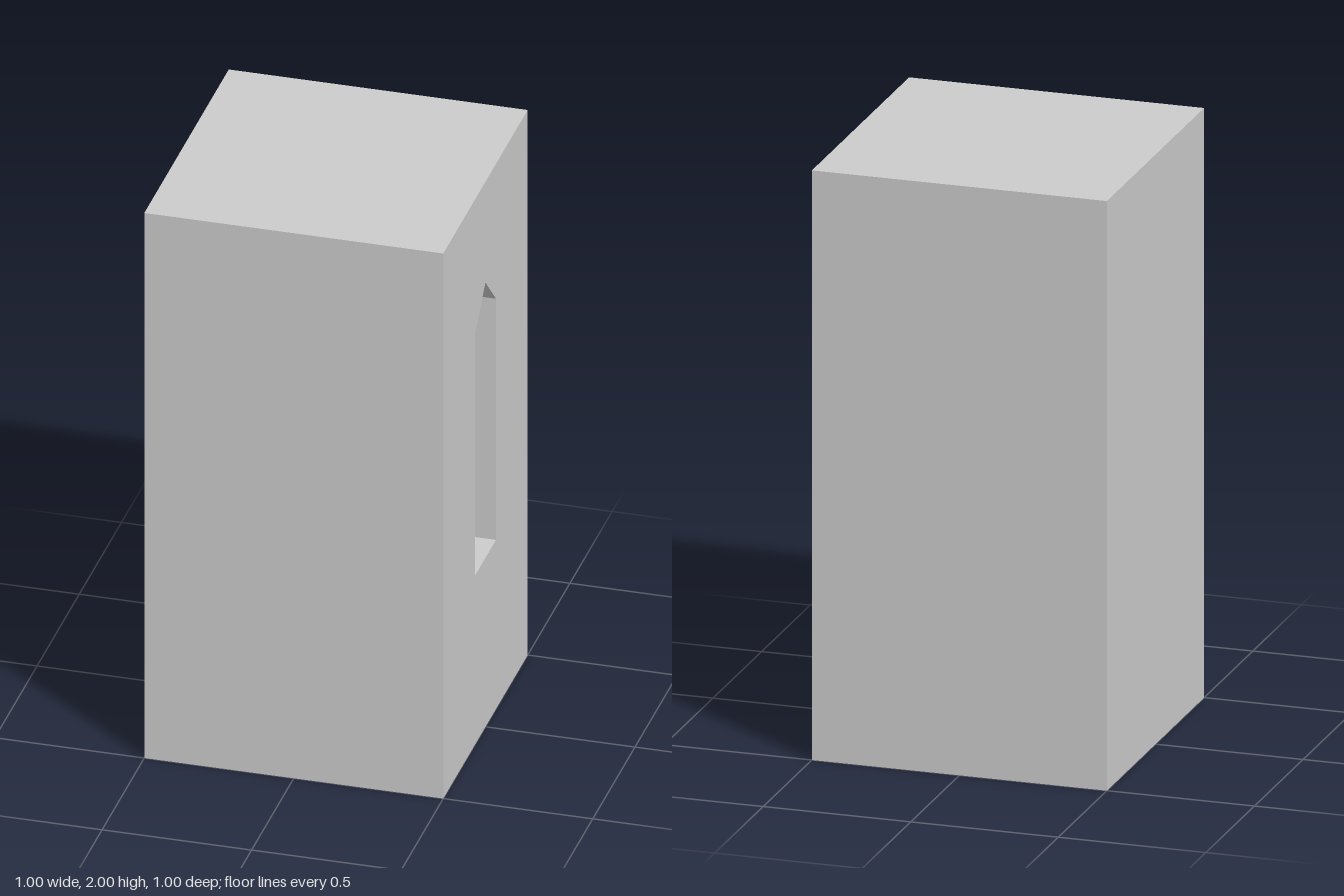
import * as THREE from 'three';

const W = 1, H = 2, NICHE_DEPTH = 0.25;
// pointed window outline, counter-clockwise
const OUTLINE = [[-0.125, 0.62], [0.125, 0.62], [0.125, 1.505], [0, 1.63], [-0.125, 1.505]]
  .map(([x, y]) => new THREE.Vector2(x, y));

// sides of the recess, one inward-facing quad per outline edge
function revealGeometry(depth) {
  const pos = [];
  OUTLINE.forEach((a, i) => {
    const b = OUTLINE[(i + 1) % OUTLINE.length];
    pos.push(a.x, a.y, 0, b.x, b.y, 0, b.x, b.y, -depth);
    pos.push(a.x, a.y, 0, b.x, b.y, -depth, a.x, a.y, -depth);
  });
  const g = new THREE.BufferGeometry();
  g.setAttribute('position', new THREE.Float32BufferAttribute(pos, 3));
  g.computeVertexNormals();
  return g;
}

export function createModel() {
  const model = new THREE.Group();
  model.name = 'towerBlock';
  const material = new THREE.MeshStandardMaterial({
    color: 0xcccccc, flatShading: true, side: THREE.DoubleSide,
  });
  const add = (parent, name, geometry) => {
    const mesh = new THREE.Mesh(geometry, material);
    mesh.name = name;
    parent.add(mesh);
    return mesh;
  };

  // three plain thin walls; the block is open underneath
  [['frontWall', 0], ['backWall', Math.PI], ['rightWall', -Math.PI / 2]].forEach(([name, angle]) => {
    add(model, name, new THREE.PlaneGeometry(W, H).translate(0, H / 2, W / 2).rotateY(angle));
  });

  // flat roof
  add(model, 'roof', new THREE.PlaneGeometry(W, W).rotateX(-Math.PI / 2).translate(0, H, 0));

  // wall with the recessed pointed window, on +x
  const side = new THREE.Group();
  side.name = 'windowSide';
  side.rotation.y = Math.PI / 2;
  side.position.x = W / 2;
  model.add(side);

  const wall = new THREE.Shape([[-W / 2, 0], [W / 2, 0], [W / 2, H], [-W / 2, H]]
    .map(([x, y]) => new THREE.Vector2(x, y)));
  wall.holes.push(new THREE.Path(OUTLINE));
  add(side, 'windowWall', new THREE.ShapeGeometry(wall));
  add(side, 'windowReveal', revealGeometry(NICHE_DEPTH));
  add(side, 'windowBack', new THREE.ShapeGeometry(new THREE.Shape(OUTLINE))).position.z = -NICHE_DEPTH;

  return model;
}
